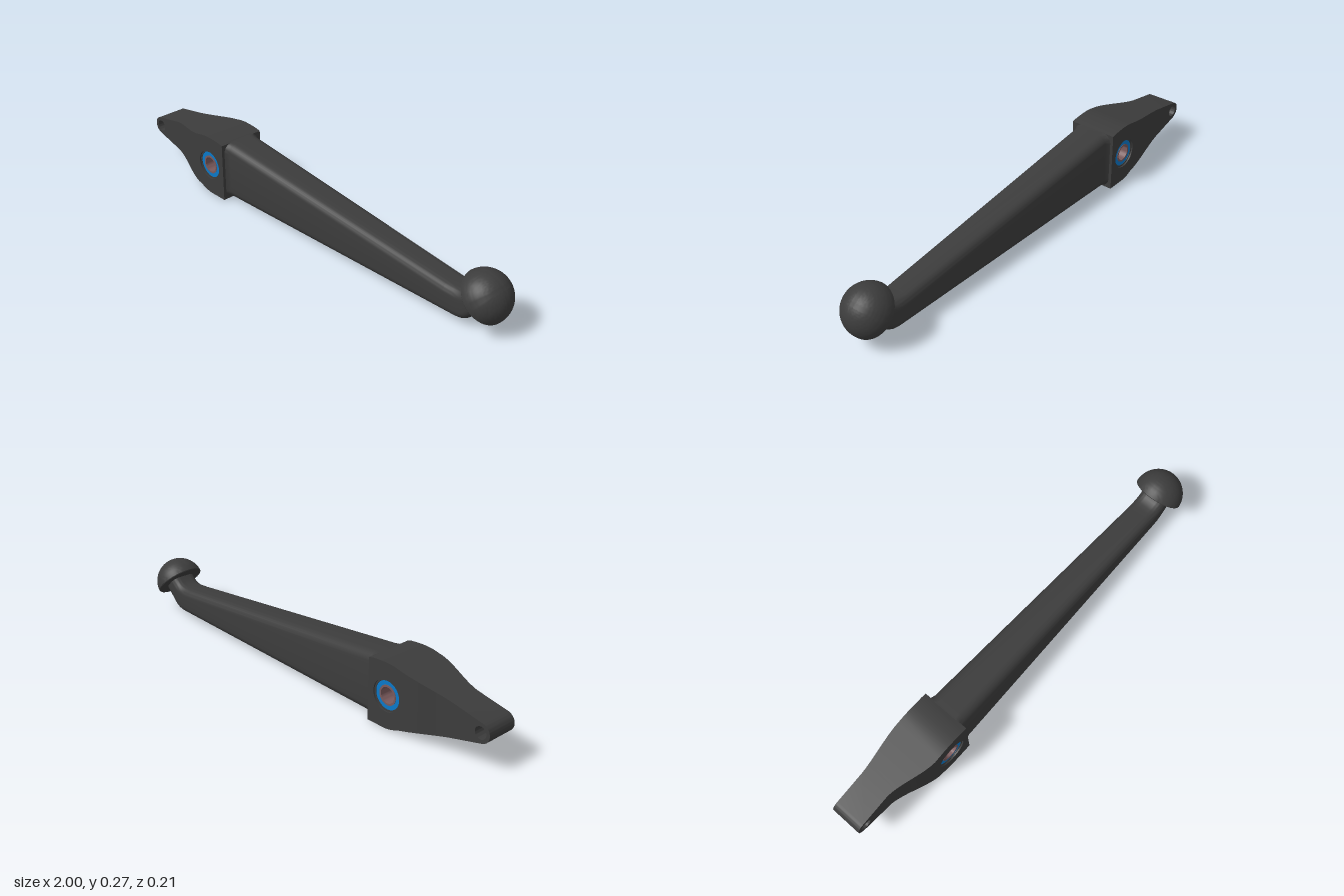
import * as THREE from 'three';
import { toCreasedNormals, mergeGeometries } from 'three/addons/utils/BufferGeometryUtils.js';

const dark = new THREE.MeshStandardMaterial({ color: 0x3c3c3c });
const blue = new THREE.MeshStandardMaterial({ color: 0x0a78c8 });
const bronze = new THREE.MeshStandardMaterial({ color: 0x7a5a5c });

// Skin over closed rings of points, each ring [x, y, z] in matching order
function skin(rings) {
  const pos = [], n = rings[0].length;
  for (let i = 0; i < rings.length - 1; i++) {
    for (let j = 0; j < n; j++) {
      const k = (j + 1) % n;
      const a = rings[i][j], b = rings[i][k], c = rings[i + 1][j], d = rings[i + 1][k];
      pos.push(...a, ...c, ...b, ...b, ...c, ...d);
    }
  }
  const g = new THREE.BufferGeometry();
  g.setAttribute('position', new THREE.Float32BufferAttribute(pos, 3));
  return g;
}

// Piecewise linear height at x
function heightAt(pts, x) {
  let i = 0;
  while (i < pts.length - 2 && pts[i + 1][0] < x) i++;
  const [x0, y0] = pts[i], [x1, y1] = pts[i + 1];
  return y0 + (y1 - y0) * (x - x0) / (x1 - x0);
}

// Bracket: upper and lower edges, flare positions, eye and hub centres
const TOP = [[-0.968, 0.194], [-0.6, 0.264], [-0.57, 0.27], [-0.54, 0.2725], [-0.51, 0.272], [-0.465, 0.268], [-0.444, 0.263]];
const LOW = [[-0.97, 0.116], [-0.6, 0.018], [-0.57, 0.006], [-0.54, 0], [-0.444, 0]];
const X0 = -0.83, X1 = -0.62, END = -0.444;
const EYE = [-0.96, 0.155, 0.025], HUB = [-0.537, 0.137, 0.066];

function flare(x) {
  const t = THREE.MathUtils.clamp((x - X0) / (X1 - X0), 0, 1);
  return 0.4 * t + 0.6 * t * t * (3 - 2 * t);
}
const frontZ = x => 0.05 + 0.056 * flare(x);
const backZ = x => -0.085 - 0.021 * flare(x);

function bracketGeometry() {
  const slices = [];
  for (let i = 0; i <= 12; i++) slices.push(X0 + (X1 - X0) * i / 12);
  const hubXs = [X1, -0.6, -0.57, -0.54, -0.51, -0.465, END];
  const low = xs => xs.map(x => [x, heightAt(LOW, x)]);
  const high = xs => xs.map(x => [x, heightAt(TOP, x)]).reverse();
  const arc = [];
  for (let i = 0; i <= 20; i++) {
    const a = THREE.MathUtils.degToRad(101 + 154 * i / 20);
    arc.push([EYE[0] + 0.04 * Math.cos(a), EYE[1] + 0.04 * Math.sin(a)]);
  }
  const shape = (pts, hole) => {
    const s = new THREE.Shape(pts.map(p => new THREE.Vector2(...p)));
    if (hole) s.holes.push(new THREE.Path().absarc(...hole, 0, Math.PI * 2, true));
    return s;
  };
  // Side faces: eye end, flare in slices, hub
  const shapes = [
    shape([...arc, ...low([X0]), ...high([X0])], EYE),
    shape([...low(hubXs), ...high(hubXs)], HUB),
  ];
  for (let i = 0; i < 12; i++) {
    const xs = [slices[i], slices[i + 1]];
    shapes.push(shape([...low(xs), ...high(xs)]));
  }
  const parts = [];
  for (const s of shapes) {
    for (const back of [false, true]) {
      const g = new THREE.ShapeGeometry(s, 24);
      const p = g.attributes.position;
      for (let i = 0; i < p.count; i++) p.setZ(i, back ? backZ(p.getX(i)) : frontZ(p.getX(i)));
      if (back) g.index.array.reverse();
      const flat = g.toNonIndexed();
      flat.deleteAttribute('normal');
      flat.deleteAttribute('uv');
      parts.push(flat);
    }
  }
  // Rim wall around the outline
  const xs = [...slices, ...hubXs.slice(1)];
  const outline = [...arc, ...low(xs), ...high(xs)];
  parts.push(skin([outline.map(p => [...p, frontZ(p[0])]), outline.map(p => [...p, backZ(p[0])])]));
  // Walls of the two holes, wound inward
  for (const [cx, cy, r] of [EYE, HUB]) {
    const ring = [];
    for (let i = 0; i < 48; i++) {
      const a = -i / 48 * Math.PI * 2;
      ring.push([cx + r * Math.cos(a), cy + r * Math.sin(a)]);
    }
    parts.push(skin([ring.map(p => [...p, frontZ(cx)]), ring.map(p => [...p, backZ(cx)])]));
  }
  return toCreasedNormals(mergeGeometries(parts), 0.45);
}

// Rounded rectangle between an upper and a lower point, half width w, corner radius r
function section([tx, ty, bx, by, w, r]) {
  const up = new THREE.Vector2(tx - bx, ty - by), h = up.length() / 2;
  up.normalize();
  const ring = [];
  for (let q = 0; q < 4; q++) {
    const sz = q === 0 || q === 3 ? 1 : -1, su = q < 2 ? 1 : -1;
    for (let i = 0; i <= 8; i++) {
      const a = (q + i / 8) * Math.PI / 2;
      const u = su * (h - r) + r * Math.sin(a);
      ring.push([(tx + bx) / 2 + up.x * u, (ty + by) / 2 + up.y * u, sz * (w - r) + r * Math.cos(a)]);
    }
  }
  return ring;
}

// Rings of the bearing, revolved about the hub axis
function ring(r0, r1, z, depth, material) {
  const pts = [[r0, -depth], [r1, -depth], [r1, 0], [r0, 0], [r0, -depth]].map(p => new THREE.Vector2(...p));
  const g = toCreasedNormals(new THREE.LatheGeometry(pts, 48).rotateX(Math.PI / 2), 0.5);
  const m = new THREE.Mesh(g, material);
  m.position.z = z;
  return m;
}

export function createModel() {
  const model = new THREE.Group();
  model.name = 'leverArm';
  const add = (name, geometry) => {
    const m = new THREE.Mesh(geometry, dark);
    m.name = name;
    model.add(m);
    return m;
  };

  add('pivotBracket', bracketGeometry());

  // Tapered arm with an upturned neck: upper x, y, lower x, y, half width, corner radius
  const sections = [
    [-0.45, 0.264, -0.45, 0.003, 0.098, 0.04],
    [-0.438, 0.263, -0.438, 0.004, 0.088, 0.04],
    [-0.42, 0.262, -0.42, 0.005, 0.083, 0.04],
    [0.75, 0.144, 0.75, 0.021, 0.061, 0.035],
    [0.785, 0.142, 0.81, 0.022, 0.06, 0.035],
    [0.805, 0.143, 0.835, 0.027, 0.06, 0.035],
    [0.82, 0.146, 0.855, 0.038, 0.06, 0.035],
    [0.835, 0.153, 0.882, 0.063, 0.06, 0.035],
    [0.852, 0.167, 0.917, 0.096, 0.06, 0.035],
    [0.872, 0.187, 0.937, 0.116, 0.06, 0.035],
  ];
  add('arm', toCreasedNormals(skin(sections.map(section)), 0.7));

  // Half-ball knob, tilted up and outward
  const dome = [new THREE.Vector2(0, 0), new THREE.Vector2(0.104, 0)];
  for (let i = 0; i <= 24; i++) {
    const a = 0.03 + (Math.PI / 2 - 0.03) * i / 24;
    dome.push(new THREE.Vector2(0.106 * Math.cos(a), 0.106 * Math.sin(a)));
  }
  const knob = add('knob', toCreasedNormals(new THREE.LatheGeometry(dome, 64), 0.6));
  knob.position.set(0.893, 0.137, 0);
  knob.rotation.z = -Math.PI / 4;

  // A bearing on each side of the hub, with a sleeve between
  const bearings = new THREE.Group();
  bearings.name = 'bearings';
  bearings.position.set(HUB[0], HUB[1], 0);
  for (const side of [0, 1]) {
    const bearing = new THREE.Group();
    bearing.name = side ? 'backBearing' : 'frontBearing';
    bearing.add(
      ring(0.059, 0.066, 0.1, 0.04, dark),
      ring(0.041, 0.059, 0.098, 0.036, blue),
      ring(0.033, 0.041, 0.1, 0.04, bronze),
    );
    bearing.rotation.y = side * Math.PI;
    bearings.add(bearing);
  }
  const sleeve = ring(0.033, 0.041, 0.06, 0.12, bronze);
  sleeve.name = 'sleeve';
  bearings.add(sleeve);
  model.add(bearings);
  return model;
}
